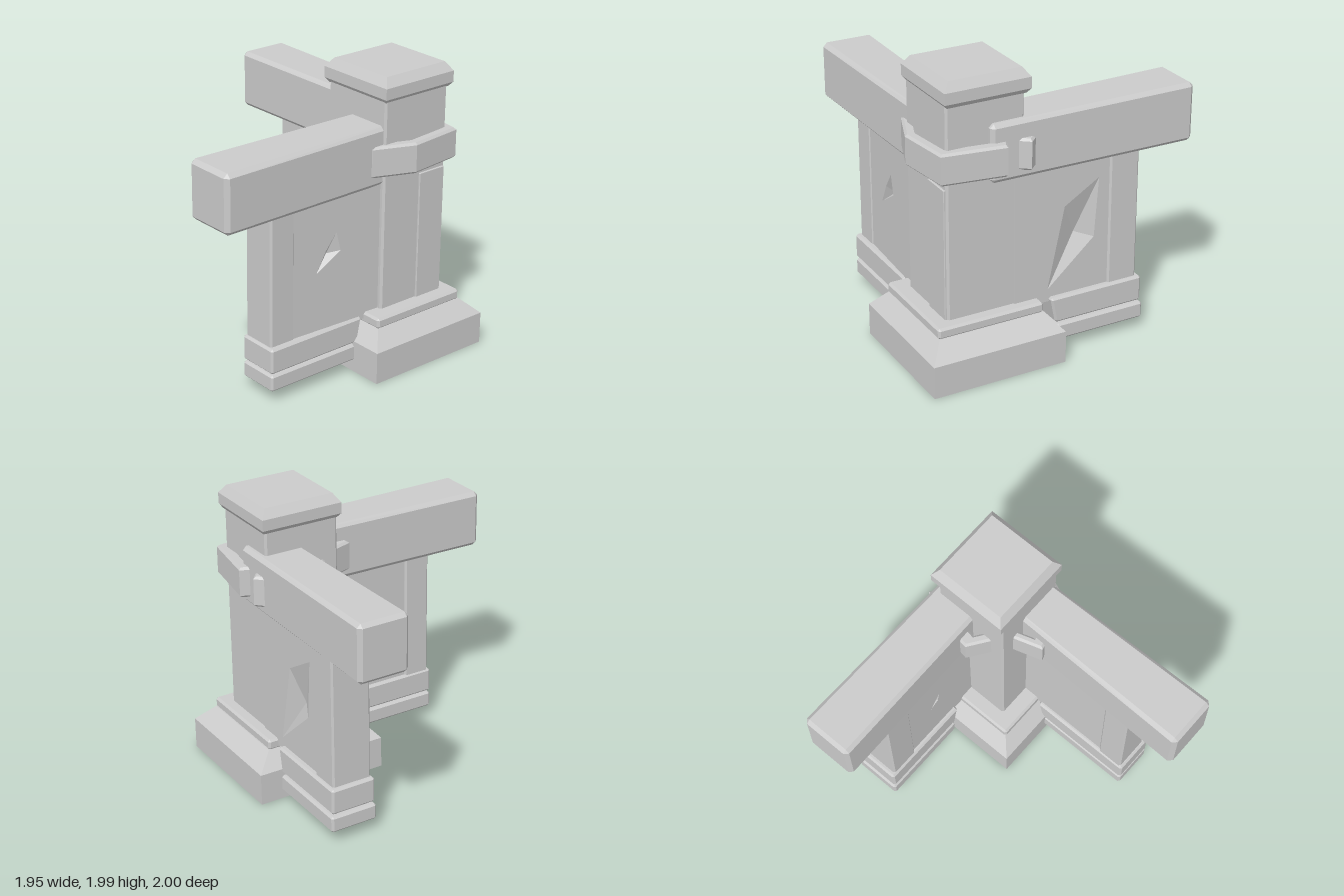
import * as THREE from 'three';
import { ConvexGeometry } from 'three/addons/geometries/ConvexGeometry.js';

const V = (x, y, z) => new THREE.Vector3(x, y, z);

export function createModel() {
  const group = new THREE.Group();
  const material = new THREE.MeshStandardMaterial({ color: 0xcccccc, flatShading: true });

  function add(name, geometry, parent = group) {
    const mesh = new THREE.Mesh(geometry, material);
    mesh.name = name;
    parent.add(mesh);
    return mesh;
  }

  // Box between two corners with chamfered edges; bend(v) may shift its points
  function block(name, x0, x1, y0, y1, z0, z1, c = 0.012, bend = () => {}) {
    const pts = [];
    for (const sx of [0, 1]) for (const sy of [0, 1]) for (const sz of [0, 1]) {
      for (const face of [0, 1, 2]) {
        const inset = [c, c, c];
        inset[face] = 0;
        const p = V(
          sx ? x1 - inset[0] : x0 + inset[0],
          sy ? y1 - inset[1] : y0 + inset[1],
          sz ? z1 - inset[2] : z0 + inset[2]);
        bend(p);
        pts.push(p);
      }
    }
    return add(name, new ConvexGeometry(pts));
  }

  // Convex solid through rectangular levels [y, x0, x1, z0, z1]
  function stack(name, levels) {
    const pts = [];
    for (const [y, x0, x1, z0, z1] of levels) {
      pts.push(V(x0, y, z0), V(x1, y, z0), V(x1, y, z1), V(x0, y, z1));
    }
    return add(name, new ConvexGeometry(pts));
  }

  // Wall slab facing local +z, with a chipped hollow fanned to a sunken point
  function panel(name, x0, x1, thickness, chip, apex) {
    const part = new THREE.Group();
    part.name = name;
    const outline = [[x0, 0.355], [x1, 0.355], [x1, 1.32], [x0, 1.32]];
    const shape = new THREE.Shape(outline.map(p => new THREE.Vector2(...p)));
    const rim = chip.map(p => new THREE.Vector2(...p));
    shape.holes.push(new THREE.Path(rim));
    const slab = new THREE.ExtrudeGeometry(shape, { depth: thickness, bevelEnabled: false });
    add(name + 'Slab', slab.translate(0, 0, -thickness), part);
    const fan = [];
    chip.forEach((a, i) => {
      const b = chip[(i + 1) % chip.length];
      fan.push(...a, 0, ...b, 0, ...apex);
    });
    const hollow = new THREE.BufferGeometry();
    hollow.setAttribute('position', new THREE.Float32BufferAttribute(fan, 3));
    hollow.computeVertexNormals();
    add(name + 'Chip', hollow, part);
    group.add(part);
    return part;
  }

  // Corner pillar with plinth, collar and cap
  stack('plinth', [
    [0, 0.03, 0.97, -1, -0.06],
    [0.22, 0.03, 0.97, -1, -0.06],
    [0.33, 0.13, 0.87, -0.88, -0.155]]);
  block('plinthCollar', 0.125, 0.875, 0.325, 0.4, -0.88, -0.15, 0.015);
  block('pillar', 0.23, 0.77, 0.36, 1.86, -0.8, -0.265, 0.014);
  stack('cap', [
    [1.825, 0.225, 0.765, -0.81, -0.27],
    [1.855, 0.2, 0.79, -0.83, -0.25],
    [1.93, 0.2, 0.79, -0.83, -0.25],
    [1.99, 0.245, 0.745, -0.79, -0.29]]);

  // Two rails, each widening toward its free end
  block('sideRail', -0.98, 0.48, 1.28, 1.68, -0.86, -0.5, 0.026, p => {
    const t = (p.x + 0.98) / 1.46;
    p.z = -0.68 + (p.z + 0.68) * (1 - 0.1 * t);
    p.y -= 0.012 * t * (p.y > 1.5 ? 1 : 0);
  });
  block('frontRail', 0.41, 0.78, 1.27, 1.67, -0.6, 1, 0.028, p => {
    const t = (1 - p.z) / 1.6;
    p.x = 0.595 + (p.x - 0.595) * (1 - 0.17 * t);
  });

  // End posts under the rails, and the one set into the pillar
  block('sidePost', -0.6, -0.385, 0.35, 1.32, -0.825, -0.545);
  block('frontPost', 0.46, 0.71, 0.35, 1.32, 0.42, 0.61);
  block('innerPost', 0.52, 0.782, 0.38, 1.285, -0.785, -0.57, 0.004);

  // Two-course footings with sloped inner ends
  const lean = (axis, sign) => p => {
    if (p[axis] * sign > -0.2) p[axis] += sign * (p.y - 0.2) * 0.2;
  };
  block('sideFootingUpper', -0.63, 0.015, 0.205, 0.385, -0.85, -0.53, 0.014, lean('x', 1));
  block('sideFootingLower', -0.64, 0.01, 0.08, 0.195, -0.86, -0.525, 0.014);
  block('frontFootingUpper', 0.45, 0.745, 0.205, 0.38, -0.09, 0.63, 0.014, lean('z', -1));
  block('frontFootingLower', 0.45, 0.745, 0.08, 0.195, -0.1, 0.63, 0.014);

  // Wall panels, two slabs back to back per wall
  panel('sidePanelFront', -0.4, 0.3, 0.12,
    [[-0.175, 0.765], [-0.105, 0.8], [-0.085, 0.885]], [-0.125, 0.81, -0.02])
    .position.z = -0.56;
  const back = panel('sidePanelBack', -0.3, 0.4, 0.13,
    [[-0.06, 0.44], [0.28, 0.74], [0.31, 1.15], [0.06, 1.0]], [0.16, 0.78, -0.06]);
  back.position.z = -0.81;
  back.rotation.y = Math.PI;
  const outer = panel('frontPanelOuter', -0.44, 0.3, 0.12,
    [[-0.245, 0.78], [-0.05, 0.9], [-0.085, 1.035], [-0.17, 0.92]], [-0.13, 0.88, -0.05]);
  outer.position.x = 0.724;
  outer.rotation.y = Math.PI / 2 - 0.05;
  block('frontPanelInner', 0.475, 0.62, 0.355, 1.32, -0.3, 0.44, 0.004);

  // Irregular strap binding the rails to the pillar, points as [x, z]
  const ring = [[0.09, -0.46], [0.33, -0.29], [0.4, -0.07], [0.76, -0.17], [0.87, -0.45],
    [0.825, -0.84], [0.4, -0.905], [0.35, -0.8], [0.23, -0.895], [0.15, -0.82]];
  const toPath = (Type, k) => new Type(ring.map(([x, z]) =>
    new THREE.Vector2(0.52 + (x - 0.52) * k, 0.5 - (z + 0.5) * k)));
  const strapShape = toPath(THREE.Shape, 1);
  strapShape.holes.push(toPath(THREE.Path, 0.78));
  const strap = new THREE.ExtrudeGeometry(strapShape, {
    depth: 0.18, bevelThickness: 0.015, bevelSize: 0.015, bevelOffset: -0.015, bevelSegments: 1 });
  strap.rotateX(-Math.PI / 2).translate(0, 1.355, 0);
  add('strap', strap);

  return group;
}
